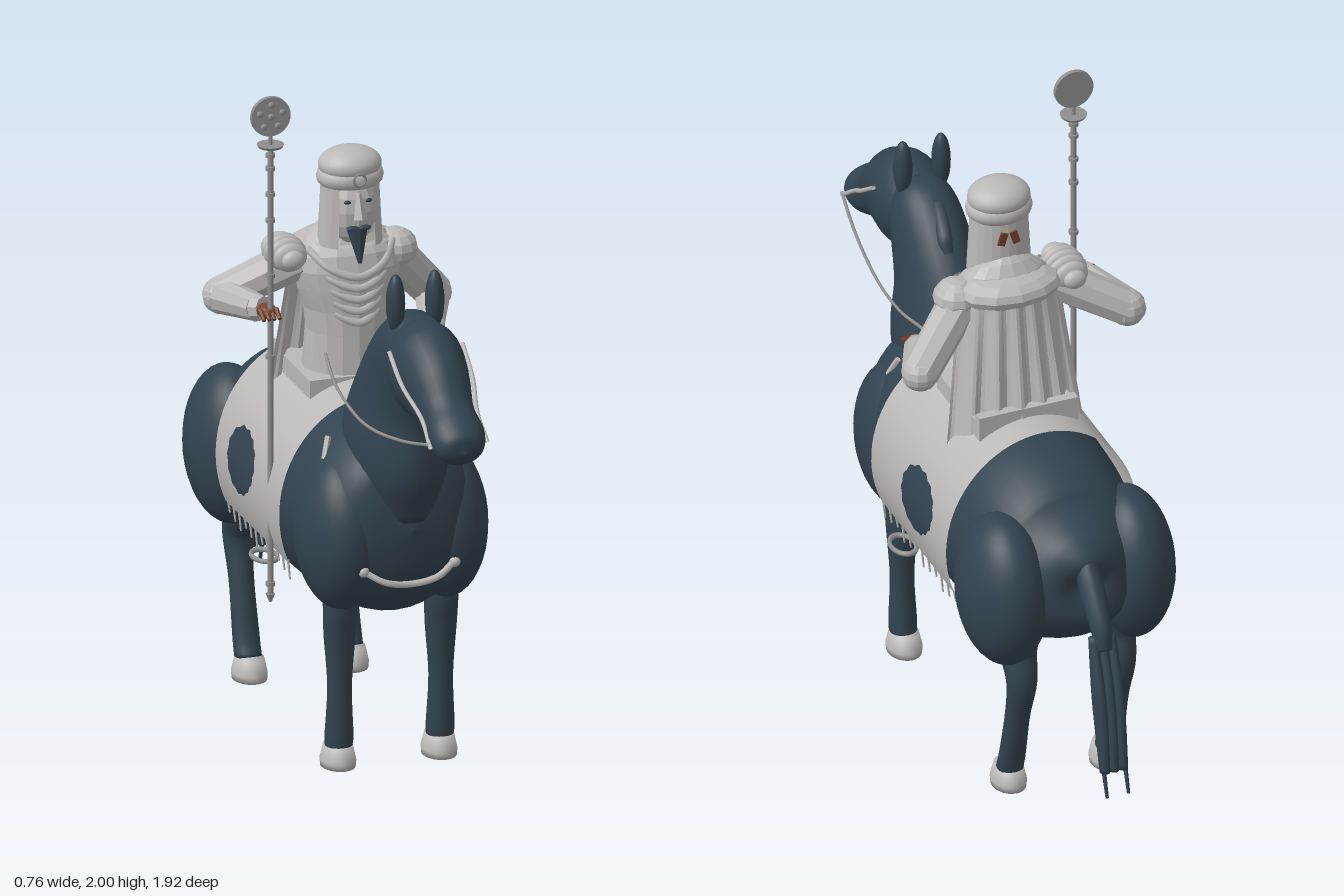
import * as THREE from 'three';

const CX = 0.03; // middle line of horse and rider
const V = (x, y, z) => new THREE.Vector3(x, y, z);

export function createModel() {
  const root = new THREE.Group();
  const mat = (name, color, side = THREE.FrontSide) => {
    const m = new THREE.MeshStandardMaterial({ color, side });
    m.name = name;
    return m;
  };
  const navy = mat('dark slate blue', 0x32434f);
  const cloth = mat('pale grey', 0xbab9b7, THREE.DoubleSide);
  const metal = mat('metal grey', 0x8f8f8f);
  const skin = mat('brown', 0x74402a);

  const add = (name, geo, material, pos = [0, 0, 0], scale = [1, 1, 1]) => {
    const m = new THREE.Mesh(geo, material);
    m.name = name;
    m.position.set(...pos);
    m.scale.set(...scale);
    root.add(m);
    return m;
  };
  const flat = (g) => {
    const f = g.index ? g.toNonIndexed() : g;
    f.computeVertexNormals();
    return f;
  };
  // Smooth skin through elliptical sections [z, y, half width, half depth]
  const loft = (sections, sides = 28, steps = 30) => {
    const path = new THREE.CatmullRomCurve3(sections.map(s => V(0, s[1], s[0])), false, 'catmullrom');
    const size = new THREE.CatmullRomCurve3(sections.map(s => V(s[2], s[3], 0)), false, 'catmullrom');
    const pos = [], idx = [];
    const ring = (c, t, a, b) => {
      for (let j = 0; j < sides; j++) {
        const w = (j / sides) * Math.PI * 2, n = b * Math.sin(w);
        pos.push(a * Math.cos(w), c.y + t.z * n, c.z - t.y * n);
      }
    };
    for (let i = 0; i <= steps + 2; i++) {
      const k = THREE.MathUtils.clamp((i - 1) / steps, 0, 1);
      const end = i === 0 || i === steps + 2;
      const r = size.getPoint(k);
      ring(path.getPoint(k), path.getTangent(k), end ? 0.0005 : Math.max(r.x, 0.001), end ? 0.0005 : Math.max(r.y, 0.001));
    }
    for (let i = 0; i < steps + 2; i++) for (let j = 0; j < sides; j++) {
      const a = i * sides + j, b = i * sides + (j + 1) % sides;
      idx.push(a, b, a + sides, b, b + sides, a + sides);
    }
    const g = new THREE.BufferGeometry();
    g.setAttribute('position', new THREE.Float32BufferAttribute(pos, 3));
    g.setIndex(idx);
    g.computeVertexNormals();
    return g;
  };
  const tube = (name, pts, r, material) =>
    add(name, new THREE.TubeGeometry(new THREE.CatmullRomCurve3(pts.map(p => V(...p))), 32, r, 6), material);
  // Tapered faceted rod between two points
  const rod = (name, a, b, ra, rb, material, sides = 9) => {
    const p = V(...a), q = V(...b), d = q.clone().sub(p);
    const m = add(name, flat(new THREE.CylinderGeometry(rb, ra, d.length(), sides)), material);
    m.position.copy(p).add(q).multiplyScalar(0.5);
    m.quaternion.setFromUnitVectors(V(0, 1, 0), d.normalize());
    return m;
  };
  const ball = new THREE.SphereGeometry(1, 32, 20);
  const facetBall = flat(new THREE.SphereGeometry(1, 12, 8));

  // Horse body, neck and head
  add('horseBody', loft([[-0.73, 0.8, 0, 0], [-0.705, 0.8, 0.12, 0.12], [-0.6, 0.77, 0.22, 0.23], [-0.4, 0.755, 0.27, 0.305],
    [-0.1, 0.75, 0.285, 0.315], [0.2, 0.765, 0.275, 0.315], [0.38, 0.78, 0.235, 0.27], [0.47, 0.78, 0.15, 0.17], [0.505, 0.78, 0, 0]], 40, 48), navy, [CX, 0, 0]);
  add('neck', loft([[0.31, 0.84, 0.12, 0.2], [0.34, 1.0, 0.145, 0.23], [0.395, 1.18, 0.12, 0.18],
    [0.5, 1.35, 0.1, 0.12], [0.56, 1.42, 0.06, 0.05]]), navy, [CX, 0, 0]);
  add('horseHead', loft([[0.46, 1.36, 0, 0], [0.5, 1.35, 0.08, 0.09], [0.6, 1.32, 0.11, 0.148], [0.7, 1.29, 0.1, 0.13],
    [0.8, 1.235, 0.08, 0.085], [0.88, 1.195, 0.085, 0.075], [0.94, 1.175, 0.06, 0.05], [0.96, 1.17, 0, 0]]), navy, [CX, 0, 0]);
  tube('mane', [[CX - 0.01, 1.41, 0.43], [CX, 1.385, 0.37], [CX + 0.01, 1.35, 0.32], [CX + 0.01, 1.31, 0.3]], 0.022, navy);

  // Paired horse parts
  for (const s of [1, -1]) {
    const x = (d) => CX + s * d;
    add('ear', ball, navy, [x(0.06), 1.49, 0.515], [0.028, 0.09, 0.03]);
    add('shoulder', ball, navy, [x(0.16), 0.73, 0.3], [0.125, 0.235, 0.18]);
    add('haunch', ball, navy, [x(0.197), 0.71, -0.555], [0.13, 0.24, 0.185]);
    add('frontLeg', loft([[0.29, 0.62, 0.06, 0.07], [0.3, 0.5, 0.05, 0.055], [0.295, 0.41, 0.047, 0.045],
      [0.295, 0.25, 0.036, 0.035], [0.29, 0.1, 0.042, 0.04], [0.285, 0.06, 0.04, 0.04]], 20), navy, [x(0.155), 0, 0]);
    add('hindLeg', loft([[-0.56, 0.6, 0.07, 0.11], [-0.57, 0.5, 0.055, 0.07], [-0.6, 0.41, 0.045, 0.05],
      [-0.57, 0.28, 0.037, 0.038], [-0.53, 0.12, 0.04, 0.035], [-0.51, 0.06, 0.04, 0.04]], 20), navy, [x(0.155), 0, 0]);
    const hoof = new THREE.LatheGeometry([[0, 0], [0.05, 0], [0.052, 0.02], [0.042, 0.065], [0, 0.075]].map(p => new THREE.Vector2(...p)), 24);
    add('frontHoof', hoof, cloth, [x(0.155), 0, 0.28], [1, 1, 1.28]);
    add('hindHoof', hoof, cloth, [x(0.155), 0, -0.5], [1, 1, 1.28]);
    // Bridle and reins
    tube('cheekStrap', [[x(0.087), 1.18, 0.9], [x(0.085), 1.24, 0.82], [x(0.108), 1.31, 0.71], [x(0.112), 1.38, 0.61]], 0.007, cloth);
    tube('rein', [[x(0.09), 1.19, 0.9], [x(0.115), 1.15, 0.74], [x(0.135), 1.115, 0.52], [x(0.135), 1.11, 0.36],
      [x(0.13), 1.14, 0.18], [x(s > 0 ? 0.2 : 0.12), 1.19, 0.07]], 0.005, metal);
    rod('neckTag', [x(0.2), 0.95, 0.29], [x(0.18), 1.01, 0.265], 0.009, 0.009, cloth, 6);
    // Stirrup
    const st = add('stirrup', new THREE.TorusGeometry(0.045, 0.008, 8, 24), metal, [x(0.28), 0.56, -0.01], [0.8, 1.2, 1]);
    st.rotation.x = Math.PI / 2;
  }

  // Tail: dock, three hanks and two thin tips
  add('tailDock', loft([[-0.7, 0.85, 0.03, 0.03], [-0.75, 0.78, 0.037, 0.042], [-0.82, 0.69, 0.032, 0.035], [-0.85, 0.62, 0.025, 0.02]], 16), navy, [CX, 0, 0]);
  for (const d of [-0.028, 0, 0.028]) {
    add('tailHank', loft([[-0.83, 0.66, 0.014, 0.014], [-0.87, 0.5, 0.018, 0.035], [-0.895, 0.38, 0.017, 0.034], [-0.92, 0.25, 0.015, 0.02]], 12), navy, [CX + d, 0, 0]);
    if (d) rod('tailTip', [CX + d * 1.2, 0.32, -0.905], [CX + d * 1.2, 0.18, -0.95], 0.008, 0.005, navy, 6);
  }

  // Saddle blanket over an elliptical back
  const reach = (y) => 0.3 * Math.sqrt(1 - ((y - 0.75) / 0.34) ** 2);
  const blanket = new THREE.PlaneGeometry(1, 1, 48, 1);
  const bp = blanket.attributes.position;
  for (let i = 0; i < bp.count; i++) {
    const a = Math.PI / 2 - bp.getX(i) * 2 * (Math.PI / 2 + 0.456);
    bp.setXYZ(i, CX + 0.3 * Math.cos(a), 0.75 + 0.34 * Math.sin(a), -0.1 - bp.getY(i) * 0.56);
  }
  blanket.computeVertexNormals();
  add('saddleBlanket', blanket, cloth);
  for (const s of [1, -1]) {
    // Ragged round patch lying on the blanket
    const patch = new THREE.RingGeometry(0.0005, 1, 56, 6), p = patch.attributes.position;
    for (let i = 0; i < p.count; i++) {
      const a = Math.atan2(p.getY(i), p.getX(i));
      const k = 1 + 0.035 * Math.sin(a * 14) + 0.04 * Math.sin(a * 3 + 1);
      const y = 0.8 + p.getY(i) * 0.098 * k;
      p.setXYZ(i, CX + s * (reach(y) + 0.005), y, -0.16 - s * p.getX(i) * 0.112 * k);
    }
    patch.computeVertexNormals();
    add('blanketPatch', patch, navy);
    for (let i = 0; i < 12; i++) {
      const z = 0.165 - i * 0.048;
      rod('fringe', [CX + s * 0.268, 0.605, z], [CX + s * 0.262, 0.545 + 0.012 * (i % 3), z], 0.004, 0.003, cloth, 5);
    }
  }
  add('saddle', new THREE.BoxGeometry(0.31, 0.055, 0.32), cloth, [CX, 1.07, -0.125]);
  add('saddleBack', new THREE.BoxGeometry(0.31, 0.04, 0.03), cloth, [CX, 1.1, -0.27]);

  // Chest ornament
  const arc = [[-0.14, 0.655, 0.46], [-0.08, 0.622, 0.485], [0, 0.607, 0.48], [0.08, 0.622, 0.485], [0.14, 0.655, 0.46]];
  tube('chestStrap', arc.map(p => [CX + p[0], p[1], p[2]]), 0.01, cloth);
  for (const s of [1, -1]) add('chestStud', ball, cloth, [CX + s * 0.14, 0.655, 0.462], [0.017, 0.017, 0.017]);

  // Rider torso with draped scarf folds
  add('torso', flat(loft([[-0.09, 1.07, 0.135, 0.12], [-0.085, 1.25, 0.125, 0.11], [-0.09, 1.4, 0.165, 0.11],
    [-0.1, 1.48, 0.13, 0.085], [-0.085, 1.54, 0.055, 0.055]], 16, 10)), cloth, [CX, 0, 0]);
  for (let i = 0; i < 5; i++) {
    const w = 0.13 - i * 0.008, y = 1.47 - i * 0.035;
    tube('scarfFold', [[CX - w, y, -0.06], [CX - w * 0.6, y - 0.05, 0.0], [CX, y - 0.075, 0.022], [CX + w * 0.6, y - 0.05, 0.0], [CX + w, y, -0.06]], 0.013, cloth);
  }
  // Pleated cape
  const cape = new THREE.PlaneGeometry(2, 1, 40, 8), cp = cape.attributes.position;
  for (let i = 0; i < cp.count; i++) {
    const u = cp.getX(i), v = 0.5 - cp.getY(i);
    const bottom = 1.085 - 0.13 * u * u;
    cp.setXYZ(i, CX - u * (0.155 + 0.065 * v), 1.485 - 0.02 * u * u + (bottom - 1.485) * v,
      -0.215 - 0.06 * v + 0.09 * u * u + (0.004 + 0.012 * v) * Math.sin(u * 19));
  }
  add('cape', flat(cape), cloth);
  add('capeYoke', facetBall, cloth, [CX, 1.455, -0.14], [0.16, 0.055, 0.1]);

  // Arms and hands
  const arm = (sh, el, wr, hand) => {
    rod('upperSleeve', sh, el, 0.062, 0.056, cloth);
    add('elbow', facetBall, cloth, el, [0.056, 0.056, 0.056]);
    rod('foreSleeve', el, wr, 0.055, 0.04, cloth);
    rod('cuff', wr, hand, 0.042, 0.036, cloth);
    add('hand', facetBall, skin, [hand[0], hand[1], hand[2] + 0.02], [0.03, 0.022, 0.035]);
    for (let i = 0; i < 4; i++) {
      const x = hand[0] - 0.024 + i * 0.016;
      rod('finger', [x, hand[1] + 0.008, hand[2] + 0.035], [x, hand[1] - 0.012, hand[2] + 0.07], 0.008, 0.006, skin, 6);
    }
  };
  arm([0.16, 1.43, -0.1], [0.325, 1.25, -0.175], [0.26, 1.215, 0.0], [0.245, 1.205, 0.025]);
  arm([-0.11, 1.43, -0.1], [-0.325, 1.315, -0.175], [-0.275, 1.33, 0.0], [-0.262, 1.335, 0.025]);
  // Ribbed shoulder guard
  for (let i = 0; i < 7; i++) {
    const k = (i - 3) / 3.6, r = Math.sqrt(1 - k * k);
    add('shoulderGuardRib', ball, cloth, [-0.158, 1.455, -0.1 + k * 0.1], [0.062 * r, 0.052 * r, 0.021]);
  }
  add('leftShoulder', facetBall, cloth, [0.18, 1.43, -0.1], [0.07, 0.06, 0.07]);

  // Rider head, headcloth and cap
  add('face', facetBall, cloth, [CX, 1.59, -0.045], [0.075, 0.11, 0.07]);
  const veil = new THREE.CylinderGeometry(0.088, 0.1, 0.22, 18, 3, true, Math.PI * 0.2, Math.PI * 1.6);
  add('headcloth', flat(veil), cloth, [CX, 1.59, -0.06], [0.97, 1, 0.8]);
  add('cap', ball, cloth, [CX, 1.72, -0.06], [0.094, 0.052, 0.083]);
  const band = add('capBand', new THREE.TorusGeometry(0.08, 0.02, 10, 28), cloth, [CX, 1.685, -0.06], [1, 0.85, 1.3]);
  band.rotation.x = Math.PI / 2;
  add('capMedal', new THREE.TorusGeometry(0.018, 0.004, 6, 16), metal, [CX, 1.695, 0.028]);
  rod('nose', [CX, 1.575, 0.03], [CX, 1.65, 0.015], 0.022, 0.008, cloth, 5);
  for (const s of [1, -1]) {
    add('eye', ball, navy, [CX + s * 0.032, 1.625, 0.012], [0.011, 0.006, 0.006]);
    add('moustache', facetBall, navy, [CX + s * 0.018, 1.545, 0.018], [0.02, 0.008, 0.012]);
    const mark = add('backOrnament', new THREE.BoxGeometry(0.022, 0.04, 0.008), skin, [CX + s * 0.019, 1.615, -0.135]);
    mark.rotation.z = s * 0.3;
  }
  rod('beard', [CX, 1.54, 0.005], [CX, 1.44, 0.03], 0.032, 0.006, navy, 8);

  // Staff with rings, cup plate and studded disc
  const SX = -0.257, SZ = 0.065;
  rod('staff', [SX, 0.47, SZ], [SX, 1.83, SZ], 0.009, 0.009, metal, 10);
  rod('staffPoint', [SX, 0.47, SZ], [SX, 0.445, SZ], 0.014, 0.004, metal, 10);
  for (const y of [0.5, 1.2, 1.45, 1.62, 1.7, 1.78, 1.82])
    add('staffRing', new THREE.CylinderGeometry(0.014, 0.014, 0.012, 12), metal, [SX, y, SZ]);
  add('staffPlate', new THREE.CylinderGeometry(0.04, 0.036, 0.008, 20), metal, [SX, 1.85, SZ]);
  rod('discStem', [SX, 1.825, SZ], [SX, 1.89, SZ], 0.008, 0.006, metal, 8);
  const disc = add('disc', new THREE.CylinderGeometry(0.06, 0.06, 0.014, 32), metal, [SX, 1.94, SZ]);
  disc.rotation.x = Math.PI / 2;
  for (let i = 0; i < 6; i++) {
    const a = (i / 5) * Math.PI * 2 + 0.3, r = i < 5 ? 0.036 : 0;
    add('discStud', ball, metal, [SX + r * Math.cos(a), 1.94 + r * Math.sin(a), SZ + 0.008], [0.01, 0.01, 0.006]);
  }
  return root;
}
